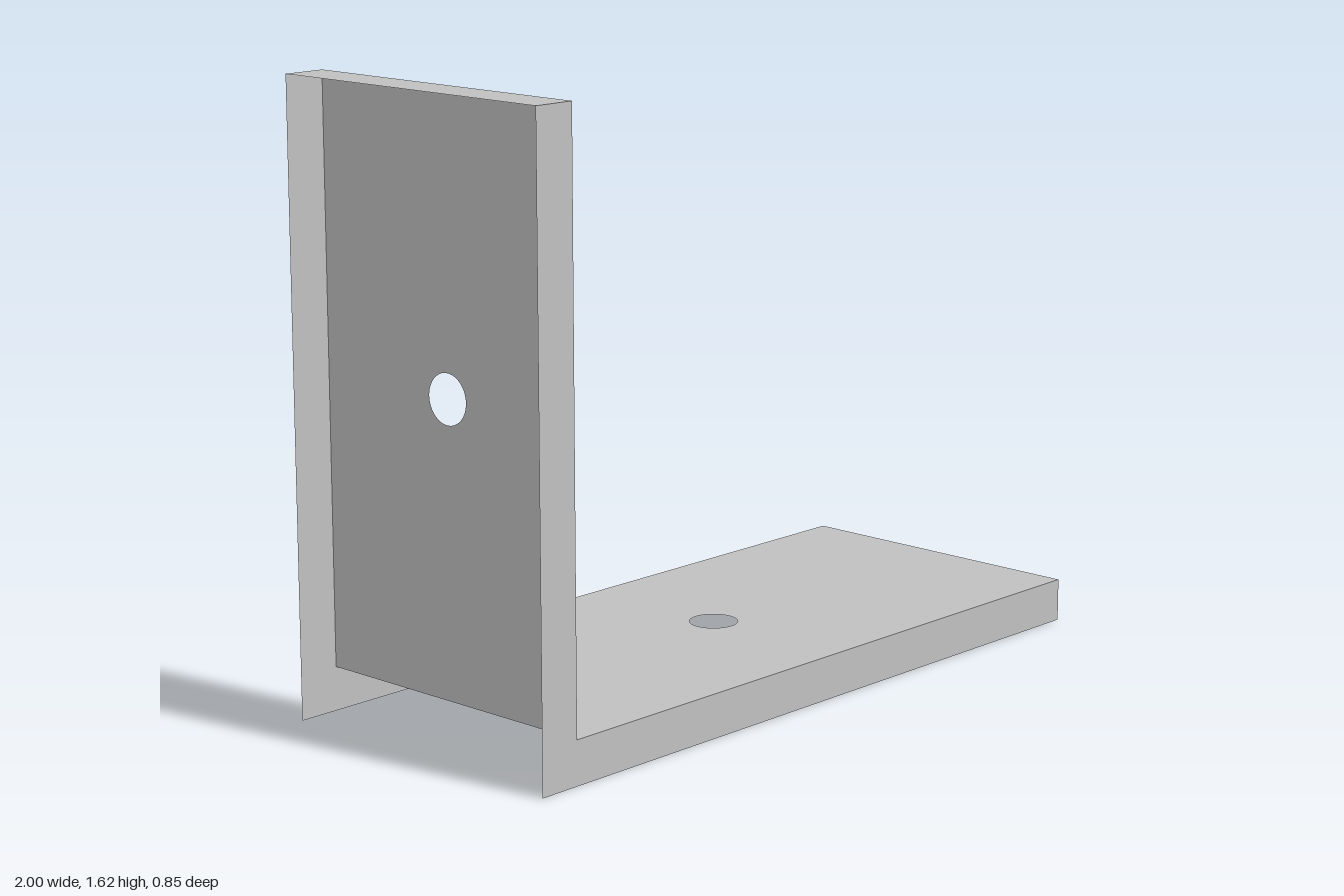
import * as THREE from 'three';

const T = 0.115;      // sheet depth
const H = 1.625;      // upright height
const D = 0.427;      // half width in z
const HOLE = 0.064;   // bolt hole radius

const grey = new THREE.MeshStandardMaterial({ color: 0xc0c0c0, side: THREE.DoubleSide });
grey.name = 'grey';

function add(group, name, geometry) {
  const mesh = new THREE.Mesh(geometry, grey);
  mesh.name = name;
  group.add(mesh);
  return mesh;
}

// Flat rectangle centred on the origin with a round hole in the middle
function drilledFace(w, h) {
  const s = new THREE.Shape();
  s.moveTo(-w / 2, -h / 2).lineTo(w / 2, -h / 2).lineTo(w / 2, h / 2).lineTo(-w / 2, h / 2).closePath();
  s.holes.push(new THREE.Path().absarc(0, 0, HOLE, 0, Math.PI * 2, true));
  return new THREE.ShapeGeometry(s, 32);
}

export function createModel() {
  const bracket = new THREE.Group();
  bracket.name = 'angleBracket';

  // Inner faces of the two legs; the outer back and underside are open
  const upright = add(bracket, 'uprightFace', drilledFace(2 * D, H - T).rotateY(Math.PI / 2));
  upright.position.set(-1 + T, (H + T) / 2, 0);
  const base = add(bracket, 'baseFace', drilledFace(2 - T, 2 * D).rotateX(-Math.PI / 2));
  base.position.set(T / 2, T, 0);

  // Narrow end caps of each leg
  const topCap = add(bracket, 'uprightEnd', new THREE.PlaneGeometry(T, 2 * D).rotateX(-Math.PI / 2));
  topCap.position.set(-1 + T / 2, H, 0);
  const baseCap = add(bracket, 'baseEnd', new THREE.PlaneGeometry(2 * D, T).rotateY(Math.PI / 2));
  baseCap.position.set(1, T / 2, 0);

  // L-shaped sides
  const side = new THREE.Shape();
  side.moveTo(-1, 0).lineTo(1, 0).lineTo(1, T).lineTo(-1 + T, T).lineTo(-1 + T, H).lineTo(-1, H).closePath();
  add(bracket, 'frontSide', new THREE.ShapeGeometry(side)).position.z = D;

  // Back side is reversed so that it faces outward
  const back = new THREE.ShapeGeometry(side);
  back.setIndex(Array.from(back.index.array).reverse());
  back.computeVertexNormals();
  add(bracket, 'backSide', back).position.z = -D;

  return bracket;
}
